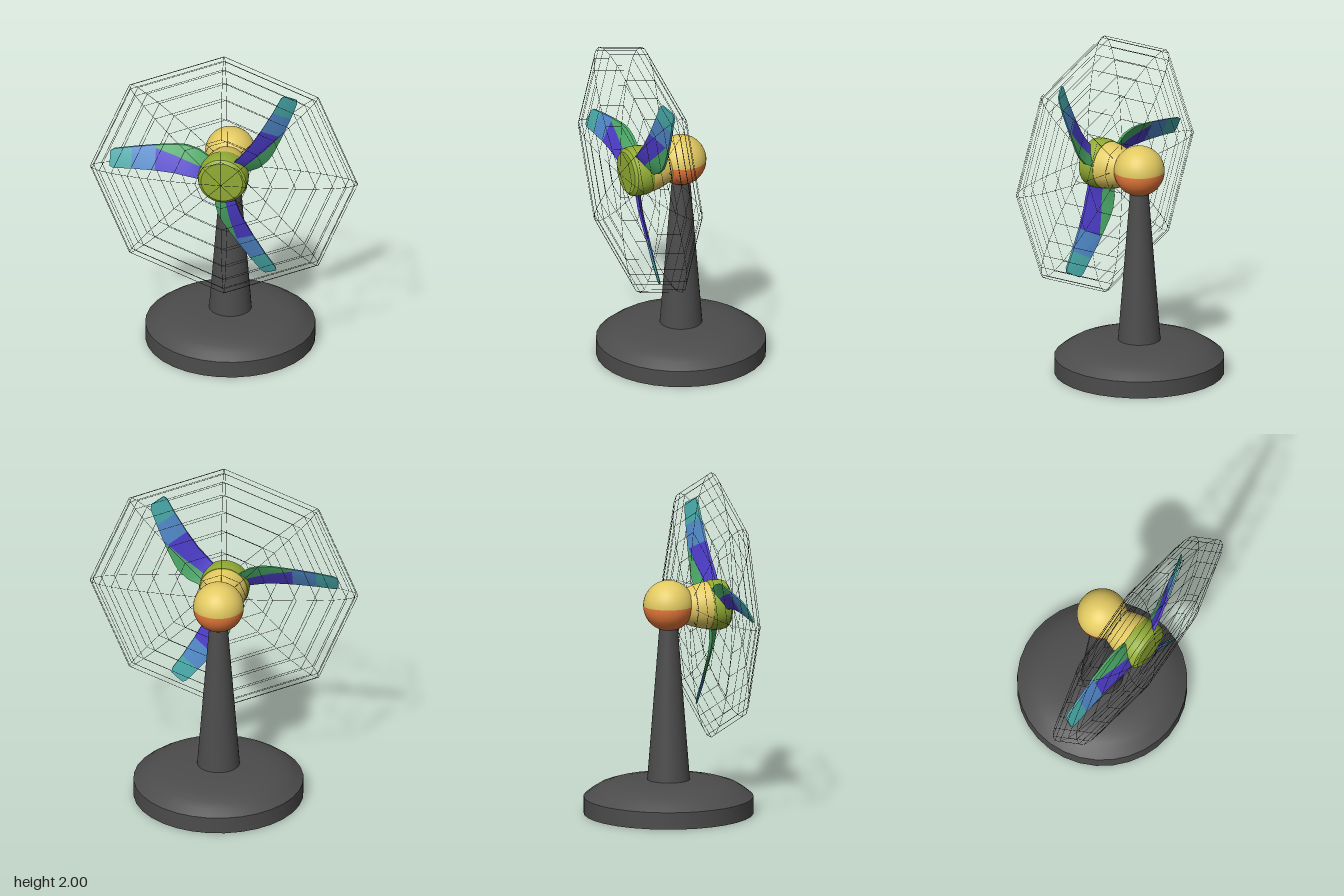
import * as THREE from 'three';
import { mergeGeometries, toCreasedNormals } from 'three/addons/utils/BufferGeometryUtils.js';

const mat = (name, color) => {
  const m = new THREE.MeshStandardMaterial({ color });
  m.name = name;
  return m;
};
const grey = mat('dark grey', 0x4c4c4c);
const gold = mat('gold', 0xe2c961);
const orange = mat('orange', 0xea7b3c);
const olive = mat('olive', 0x92ac34);
const wire = mat('wire grey', 0x333333);
const bladeColors = [
  mat('violet', 0x4c3cc8), mat('green', 0x4aa866), mat('blue', 0x5088c8), mat('teal', 0x48a8a8),
];

const AXIS_Y = 1.215; // height of the rotor axis
const CAGE_Z = 0.262;

function part(name, geometry, material, parent) {
  const mesh = new THREE.Mesh(geometry, material);
  mesh.name = name;
  parent.add(mesh);
  return mesh;
}

function lathe(points, segments = 32) {
  const pts = points.map(([r, y]) => new THREE.Vector2(r, y));
  return toCreasedNormals(new THREE.LatheGeometry(pts, segments), 0.6);
}

// Twisted blade along -x: loops of six points, faces sorted by colour
function bladeGeometry() {
  // radius, lower edge, colour line, upper edge, z of lower edge, z of upper edge, half thickness
  const stations = [
    [0.08, -0.03, 0.045, 0.10, 0.305, 0.24, 0.014],
    [0.15, 0.0, 0.07, 0.15, 0.32, 0.24, 0.014],
    [0.22, 0.013, 0.095, 0.17, 0.32, 0.237, 0.013],
    [0.28, 0.022, 0.115, 0.172, 0.315, 0.237, 0.012],
    [0.40, 0.027, 0.145, 0.160, 0.307, 0.24, 0.010],
    [0.54, 0.025, 0.085, 0.140, 0.30, 0.247, 0.010],
    [0.645, 0.018, 0.07, 0.121, 0.295, 0.25, 0.009],
    [0.668, 0.027, 0.065, 0.106, 0.29, 0.254, 0.006],
  ];
  const SIDES = 6;
  const pos = [];
  for (const [r, lo, mid, up, zLo, zUp, h] of stations) {
    const zMid = THREE.MathUtils.lerp(zLo, zUp, (mid - lo) / (up - lo));
    const edge = h * 0.6;
    pos.push(
      -r, lo, zLo + edge, -r, mid, zMid + h, -r, up, zUp + edge,
      -r, up, zUp - edge, -r, mid, zMid - h, -r, lo, zLo - edge,
    );
  }
  const faces = [[], [], [], []];
  const last = stations.length - 1;
  for (let i = 0; i < last; i++) {
    for (let k = 0; k < SIDES; k++) {
      const a = i * SIDES + k, b = i * SIDES + (k + 1) % SIDES;
      const inner = k >= 1 && k <= 3 ? 1 : 0;
      const color = i < 4 ? inner : i === 4 ? 2 : 3;
      faces[color].push(a, b, b + SIDES, a, b + SIDES, a + SIDES);
    }
  }
  const tip = last * SIDES;
  for (let k = 1; k < SIDES - 1; k++) faces[3].push(tip, tip + k, tip + k + 1);
  const g = new THREE.BufferGeometry();
  g.setAttribute('position', new THREE.Float32BufferAttribute(pos, 3));
  g.setIndex(faces.flat());
  let start = 0;
  faces.forEach((f, c) => {
    g.addGroup(start, f.length, c);
    start += f.length;
  });
  return toCreasedNormals(g, 0.6);
}

// Lens-shaped eight-sided cage of thin wires
function cageGeometry() {
  const SIDES = 8, ROWS = 16;
  const point = (row, side) => {
    const a = row * Math.PI / ROWS, b = side * 2 * Math.PI / SIDES;
    const r = 0.785 * Math.sin(a);
    return new THREE.Vector3(r * Math.sin(b), r * Math.cos(b), 0.132 * Math.cos(a));
  };
  const up = new THREE.Vector3(0, 1, 0);
  const rod = (p, q) => {
    const d = q.clone().sub(p);
    const g = new THREE.CylinderGeometry(0.0012, 0.0012, d.length(), 4, 1, true);
    g.applyQuaternion(new THREE.Quaternion().setFromUnitVectors(up, d.normalize()));
    const c = p.clone().add(q).multiplyScalar(0.5);
    return g.translate(c.x, c.y, c.z);
  };
  const rods = [];
  for (let s = 0; s < SIDES; s++) {
    for (let r = 0; r < ROWS; r++) {
      rods.push(rod(point(r, s), point(r + 1, s)));
      if (r > 0) rods.push(rod(point(r, s), point(r, s + 1)));
    }
  }
  return mergeGeometries(rods);
}

export function createModel() {
  const model = new THREE.Group();
  model.name = 'deskFan';

  // Stand
  part('base', lathe([
    [0, 0], [0.495, 0], [0.495, 0.1], [0.45, 0.135], [0.41, 0.16],
    [0.35, 0.18], [0.27, 0.194], [0.18, 0.2], [0, 0.2],
  ]), grey, model);
  part('pole', new THREE.CylinderGeometry(0.05, 0.125, 0.96, 32).translate(0, 0.67, 0), grey, model);

  // Two-tone joint ball
  const half = (from) => new THREE.SphereGeometry(0.148, 32, 10, 0, Math.PI * 2, from, Math.PI / 2);
  part('ballTop', half(0), gold, model).position.y = 1.229;
  part('ballBottom', half(Math.PI / 2), orange, model).position.y = 1.229;

  // Everything on the rotor axis
  const head = new THREE.Group();
  head.name = 'head';
  head.position.y = AXIS_Y;
  model.add(head);

  part('motor', lathe([
    [0, 0.09], [0.1, 0.09], [0.112, 0.125], [0.124, 0.16], [0.134, 0.2], [0.14, 0.24], [0, 0.24],
  ]).rotateX(Math.PI / 2), gold, head);
  part('hub', lathe([
    [0, 0.235], [0.142, 0.235], [0.147, 0.27], [0.146, 0.315], [0.14, 0.34], [0.122, 0.355], [0, 0.36],
  ]).rotateX(Math.PI / 2), olive, head);

  const blade = bladeGeometry();
  for (let i = 0; i < 3; i++) {
    part('blade' + (i + 1), blade, bladeColors, head).rotation.z = -i * Math.PI * 2 / 3;
  }

  part('cage', cageGeometry(), wire, head).position.z = CAGE_Z;
  return model;
}
